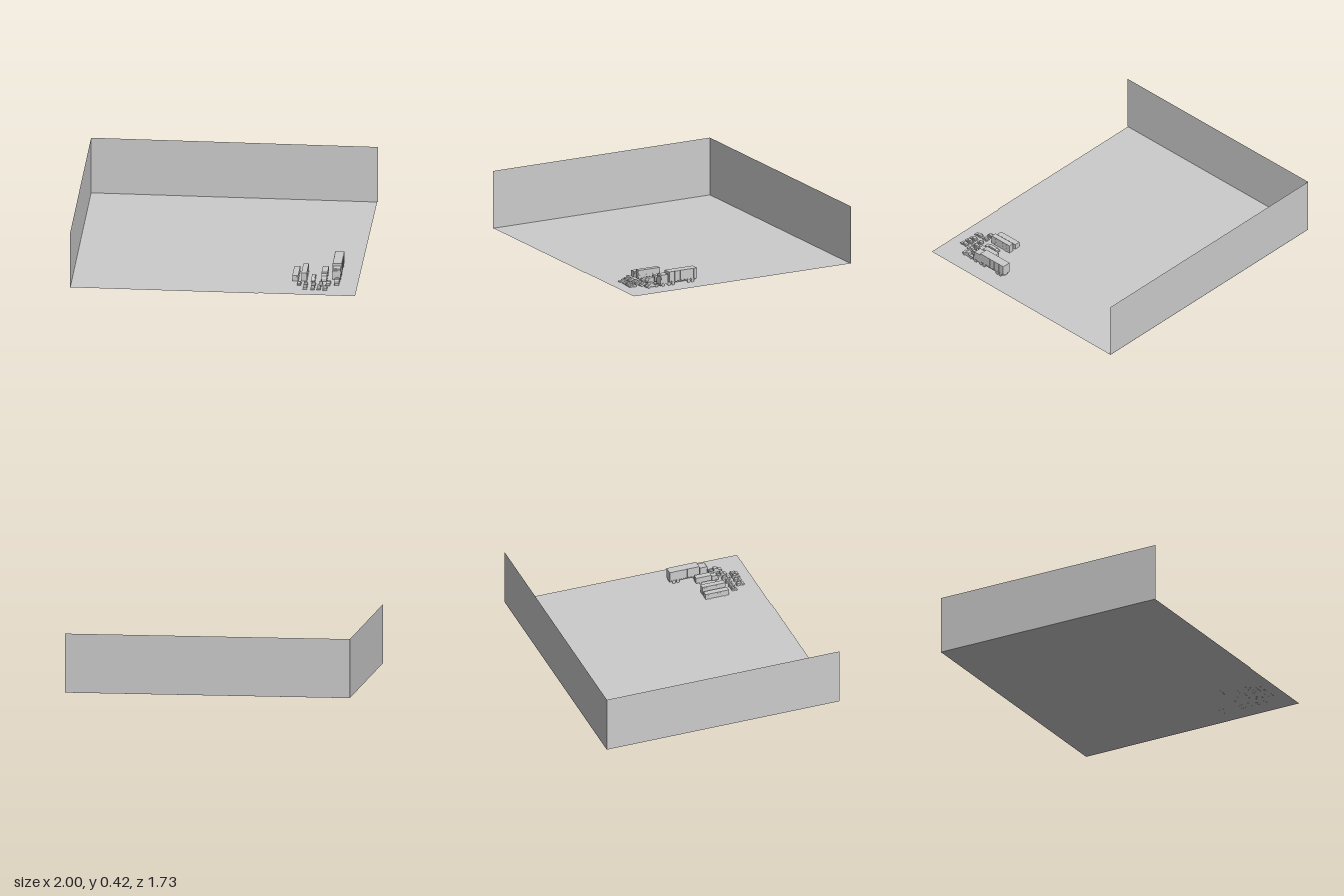
import * as THREE from 'three';

const grey = new THREE.MeshStandardMaterial({ color: 0xcccccc, flatShading: true });
const thin = new THREE.MeshStandardMaterial({ color: 0xcccccc, flatShading: true, side: THREE.DoubleSide });
const FLOOR = 0.002;

function add(parent, name, geometry, x = 0, y = 0, z = 0, material = grey) {
  const mesh = new THREE.Mesh(geometry, material);
  mesh.name = name;
  mesh.position.set(x, y, z);
  parent.add(mesh);
  return mesh;
}

// Box given by its lower and upper corners
function block(parent, name, [x0, y0, z0], [x1, y1, z1]) {
  return add(parent, name, new THREE.BoxGeometry(x1 - x0, y1 - y0, z1 - z0),
    (x0 + x1) / 2, (y0 + y1) / 2, (z0 + z1) / 2);
}

// Side outline in (z, y), extruded across x
function sideProfile(parent, name, points, width) {
  const shape = new THREE.Shape(points.map(([z, y]) => new THREE.Vector2(z, y)));
  const geo = new THREE.ExtrudeGeometry(shape, { depth: width, bevelEnabled: false });
  geo.translate(0, 0, -width / 2).rotateY(-Math.PI / 2);
  return add(parent, name, geo);
}

// Mirrored wheel pairs at the given z positions
function wheels(parent, width, radius, positions, tyre = 0.004) {
  const geo = new THREE.CylinderGeometry(radius, radius, tyre, 12).rotateZ(Math.PI / 2);
  for (const z of positions)
    for (const side of [-1, 1]) add(parent, 'wheel', geo, side * (width - tyre) / 2, radius, z);
}

function vehicle(root, name, x, z) {
  const group = new THREE.Group();
  group.name = name;
  group.position.set(x, 0, z);
  root.add(group);
  return group;
}

// Low body with a narrower, sloping cabin
function car(root, { x, z, w, l, h, name = 'car', cabin = [-0.42, 0.2] }) {
  const g = vehicle(root, name, x, z);
  const belt = h * 0.58;
  sideProfile(g, 'body', [[-l / 2, h * 0.2], [l / 2, h * 0.2], [l / 2, belt * 0.85],
    [l * cabin[1], belt], [-l / 2, belt]], w);
  sideProfile(g, 'cabin', [[l * cabin[0], belt], [l * cabin[1], belt],
    [l * (cabin[1] - 0.14), h], [l * (cabin[0] + 0.08), h]], w * 0.86);
  wheels(g, w * 1.02, h * 0.2, [-l * 0.31, l * 0.31]);
}

// Long box body with inset window band
function bus(root, { x, z, w, l, h, decks = 1 }) {
  const g = vehicle(root, 'bus', x, z);
  block(g, 'body', [-w / 2, 0.006, -l / 2], [w / 2, h, l / 2]);
  for (let d = 0; d < decks; d++) {
    const y = h - 0.014 - d * 0.026;
    for (let i = 0; i < 7; i++) {
      const zc = l * (-0.43 + i * 0.14);
      block(g, 'sideWindow', [-w / 2 - 0.0005, y - 0.005, zc - l * 0.05],
        [w / 2 + 0.0005, y + 0.005, zc + l * 0.05]);
    }
    block(g, 'windscreen', [-w * 0.42, y - 0.006, l / 2], [w * 0.42, y + 0.006, l / 2 + 0.0005]);
  }
  wheels(g, w + 0.001, 0.007, [-l * 0.3, l * 0.32]);
}

function articulatedTruck(root) {
  const g = vehicle(root, 'articulatedTruck', 0.833, 0);
  // Ribbed trailer
  block(g, 'trailer', [-0.031, 0.028, 0.287], [0.031, 0.099, 0.508]);
  for (let i = 0; i <= 10; i++) {
    const z = 0.289 + i * 0.0217;
    block(g, 'trailerRib', [-0.033, 0.028, z - 0.0015], [0.033, 0.099, z + 0.0015]);
  }
  block(g, 'trailerRail', [-0.033, 0.024, 0.287], [0.033, 0.03, 0.508]);
  block(g, 'chassis', [-0.014, 0.013, 0.29], [0.014, 0.026, 0.54]);
  // Cab
  sideProfile(g, 'cab', [[0.515, 0.014], [0.575, 0.014], [0.575, 0.045], [0.571, 0.078],
    [0.565, 0.083], [0.515, 0.083]], 0.056);
  block(g, 'windscreen', [-0.024, 0.05, 0.57], [0.024, 0.071, 0.5745]);
  block(g, 'bumper', [-0.029, 0.008, 0.565], [0.029, 0.02, 0.577]);
  for (const s of [-1, 1]) block(g, 'mirror', [s * 0.031 - 0.002, 0.048, 0.566], [s * 0.031 + 0.002, 0.064, 0.57]);
  wheels(g, 0.06, 0.012, [0.32, 0.35, 0.475, 0.505, 0.555], 0.01);
}

function boxTruck(root) {
  const g = vehicle(root, 'boxTruck', 0.75, 0);
  block(g, 'cargoBox', [-0.021, 0.015, 0.457], [0.021, 0.057, 0.57]);
  sideProfile(g, 'cab', [[0.575, 0.009], [0.622, 0.009], [0.622, 0.026], [0.612, 0.045],
    [0.575, 0.047]], 0.038);
  block(g, 'chassis', [-0.012, 0.009, 0.46], [0.012, 0.016, 0.6]);
  wheels(g, 0.041, 0.008, [0.49, 0.603], 0.007);
}

// Pickup with an open bed behind the cabin
function pickup(root, x, z, w, l, h) {
  const g = vehicle(root, 'pickup', x, z);
  const belt = h * 0.6;
  block(g, 'bedFloor', [-w / 2, h * 0.22, -l / 2], [w / 2, h * 0.34, 0]);
  for (const s of [-1, 1]) block(g, 'bedSide', [s * w * 0.47 - w * 0.03, h * 0.3, -l / 2], [s * w * 0.47 + w * 0.03, belt, -l * 0.08]);
  block(g, 'tailgate', [-w / 2, h * 0.3, -l / 2], [w / 2, belt, -l * 0.47]);
  sideProfile(g, 'cabAndHood', [[-l * 0.1, h * 0.22], [l / 2, h * 0.22], [l / 2, belt * 0.9],
    [l * 0.26, belt], [l * 0.15, h], [-l * 0.1, h]], w);
  wheels(g, w * 1.03, h * 0.21, [-l * 0.3, l * 0.32], 0.006);
}

export function createModel() {
  const root = new THREE.Group();
  root.name = 'vehicleYard';

  // Slightly irregular floor and two thin walls
  const floor = new THREE.Shape([[-1, 0.865], [0.996, 0.865], [0.986, -0.857], [0.31, -0.857], [0.31, -0.862], [-1, -0.862]]
    .map(([x, y]) => new THREE.Vector2(x, y)));
  add(root, 'floor', new THREE.ShapeGeometry(floor).rotateX(-Math.PI / 2), 0, FLOOR, 0, thin);
  const height = 0.416 - FLOOR;
  add(root, 'backWall', new THREE.PlaneGeometry(2, height), 0, FLOOR + height / 2, -0.864, thin);
  add(root, 'sideWall', new THREE.PlaneGeometry(1.728, height).rotateY(Math.PI / 2), -1, FLOOR + height / 2, 0, thin);

  // Large vehicles
  articulatedTruck(root);
  boxTruck(root);
  bus(root, { x: 0.55, z: 0.538, w: 0.041, l: 0.173, h: 0.046 });
  bus(root, { x: 0.611, z: 0.536, w: 0.038, l: 0.17, h: 0.067, decks: 2 });
  car(root, { x: 0.673, z: 0.572, w: 0.029, l: 0.114, h: 0.024, name: 'limousine', cabin: [-0.4, 0.3] });
  pickup(root, 0.842, 0.636, 0.034, 0.098, 0.038);
  pickup(root, 0.783, 0.662, 0.03, 0.076, 0.03);

  // Two rows of small cars
  const small = [
    [0.581, 0.681, 0.028, 0.04], [0.628, 0.68, 0.027, 0.043], [0.682, 0.679, 0.028, 0.044],
    [0.732, 0.677, 0.026, 0.06], [0.628, 0.745, 0.028, 0.058], [0.682, 0.744, 0.027, 0.056],
    [0.725, 0.747, 0.026, 0.056], [0.767, 0.75, 0.03, 0.058],
  ];
  small.forEach(([x, z, w, l], i) => car(root, { x, z, w, l, h: i % 3 ? 0.022 : 0.026 }));
  return root;
}
